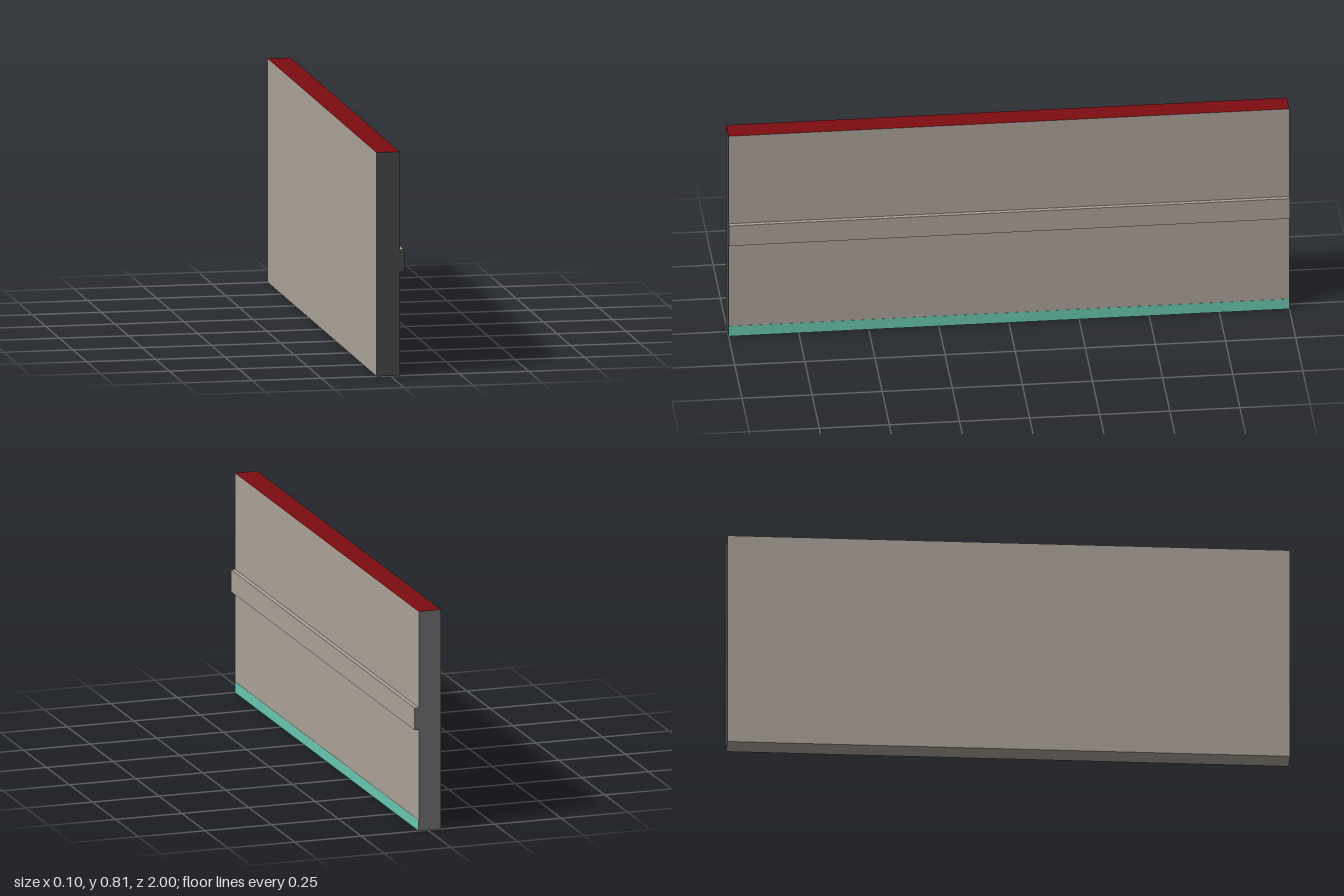
import * as THREE from 'three';

const paint = (name, color) => {
  const m = new THREE.MeshStandardMaterial({ color });
  m.name = name;
  return m;
};

export function createModel() {
  const group = new THREE.Group();
  group.name = 'wallPanel';

  const beige = paint('beige', 0xaca398);
  const red = paint('dark red', 0x7d0c10);
  const teal = paint('teal', 0x69c8b1);
  const charcoal = paint('charcoal', 0x464646);
  const grey = paint('grey', 0x707070);

  // Box given by its x and y limits, running the full length in z
  const addBox = (name, x0, x1, y0, y1, materials) => {
    const mesh = new THREE.Mesh(new THREE.BoxGeometry(x1 - x0, y1 - y0, 2), materials);
    mesh.position.set((x0 + x1) / 2, (y0 + y1) / 2, 0);
    mesh.name = name;
    group.add(mesh);
  };

  // Material order: +x, -x, top, bottom, front end, back end
  addBox('panel', -0.05, 0.034, 0, 0.806, [beige, beige, red, beige, charcoal, grey]);
  addBox('rail', 0.034, 0.05, 0.372, 0.453, [beige, beige, beige, beige, charcoal, grey]);
  addBox('baseStripe', 0.034, 0.035, 0, 0.04, [teal, teal, teal, beige, charcoal, grey]);

  return group;
}
